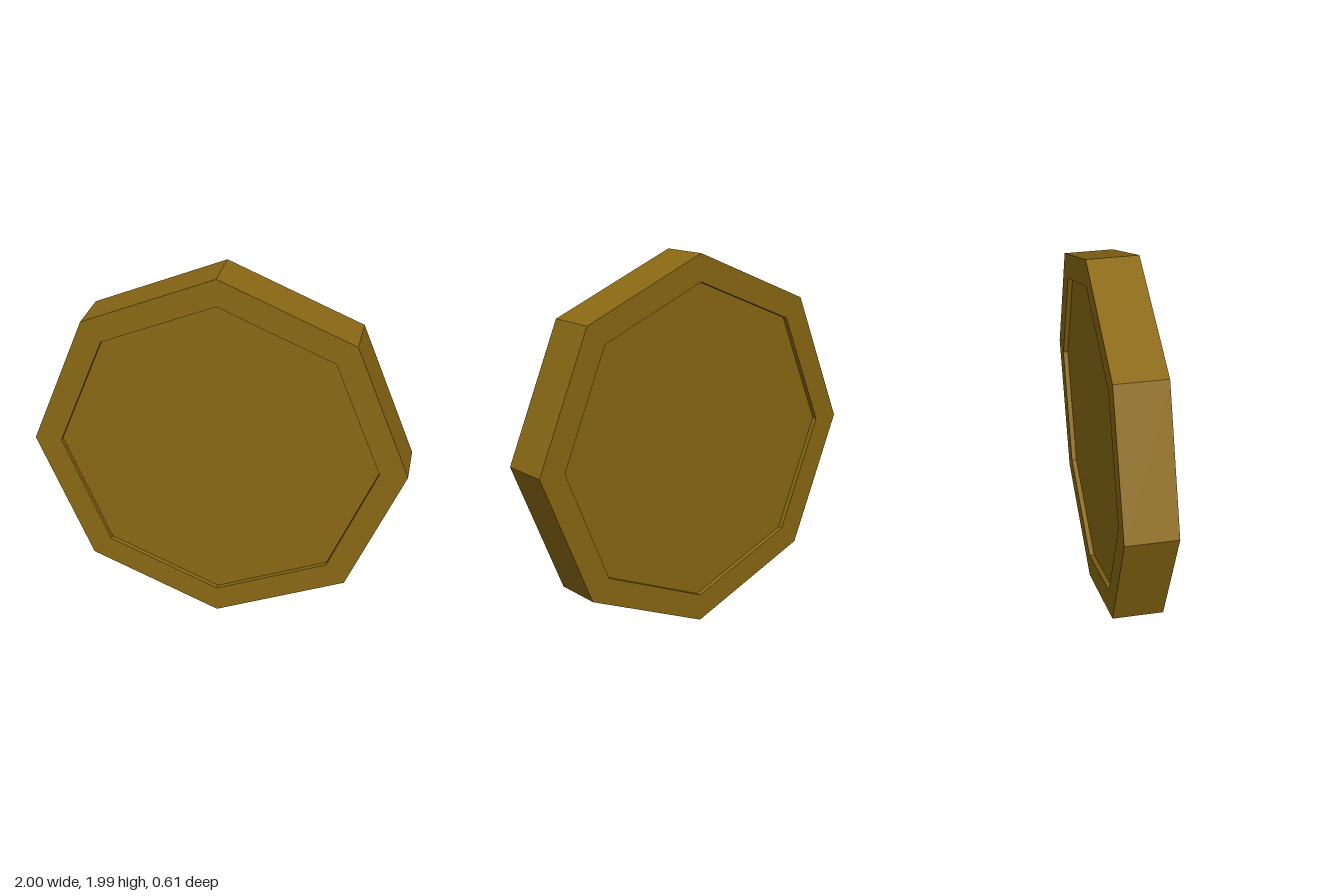
import * as THREE from 'three';

export function createModel() {
  const darkGold = new THREE.MeshStandardMaterial({ color: 0x8b6914, flatShading: true });
  darkGold.name = 'darkGold';

  const sides = 8;
  const outer = 0.9925;   // rim radius
  const inner = 0.848;    // recess radius
  const half = 0.133;     // half thickness
  const floor = half - 0.026; // recessed face level

  const coin = new THREE.Group();
  coin.name = 'coin';

  // Raised octagonal rim with the recess walls on both sides
  const profile = [
    [inner, -floor], [inner, -half], [outer, -half],
    [outer, half], [inner, half], [inner, floor],
  ].map(([r, y]) => new THREE.Vector2(r, y));
  const rim = new THREE.Mesh(new THREE.LatheGeometry(profile, sides).rotateX(Math.PI / 2), darkGold);
  rim.name = 'rim';
  coin.add(rim);

  // Recessed flat faces, front and back
  for (const [name, turn] of [['frontFace', 0], ['backFace', Math.PI]]) {
    const face = new THREE.Mesh(new THREE.CircleGeometry(inner, sides).translate(0, 0, floor), darkGold);
    face.name = name;
    face.rotation.y = turn;
    coin.add(face);
  }

  // Standing on one corner, turned slightly
  coin.position.y = outer;
  coin.rotation.y = -THREE.MathUtils.degToRad(10);

  const model = new THREE.Group();
  model.name = 'octagonalCoin';
  model.add(coin);
  return model;
}
